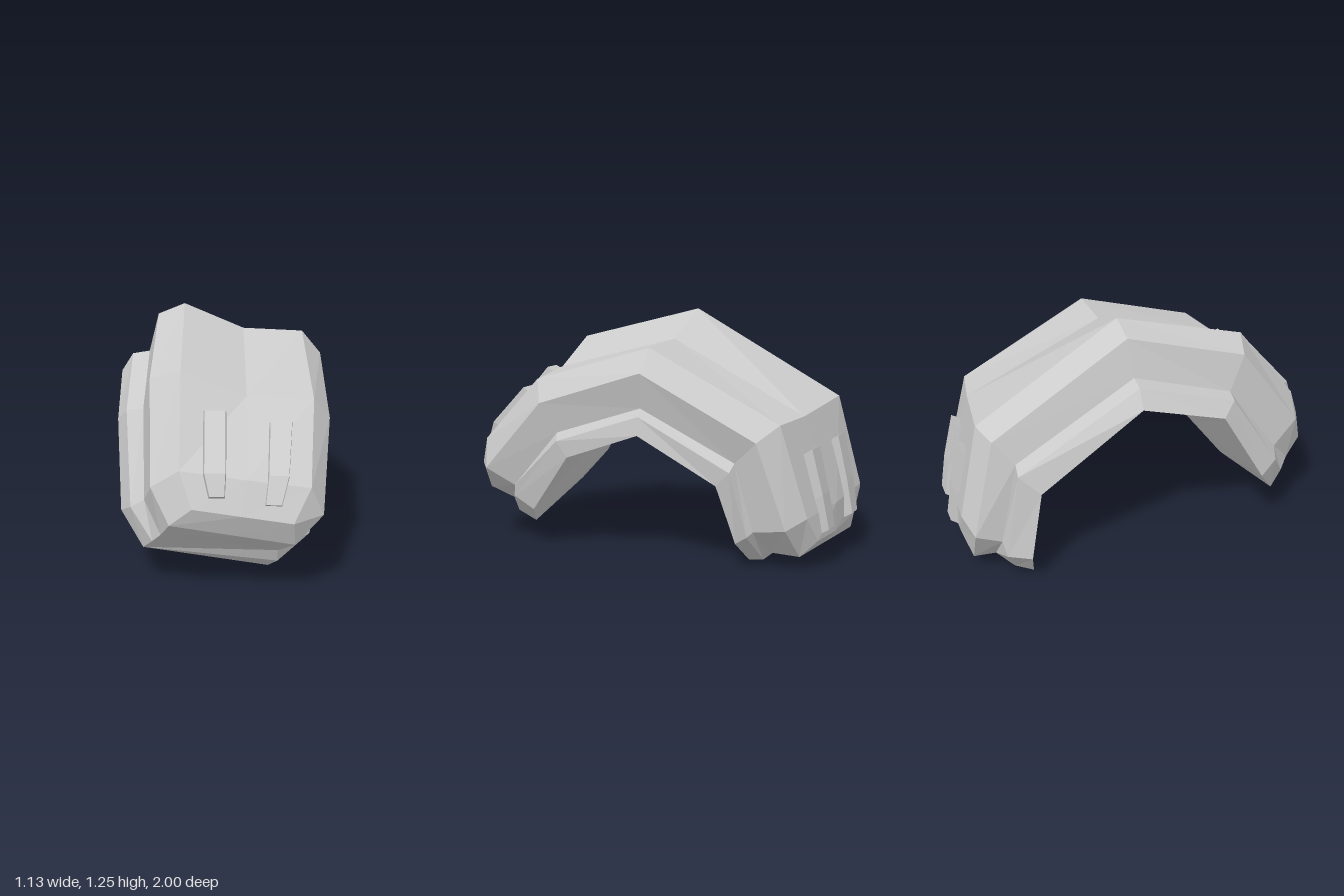
import * as THREE from 'three';

const material = new THREE.MeshStandardMaterial({ color: 0xcccccc, flatShading: true });

// Skin a list of cross-section rings (each runs -x to +x over the outside), closing rings and ends
function loft(name, rings) {
  const pos = [];
  const tri = (a, b, c) => pos.push(...a, ...b, ...c);
  const n = rings[0].length;
  for (let i = 0; i < rings.length - 1; i++) {
    for (let j = 0; j < n; j++) {
      const k = (j + 1) % n;
      const a = rings[i][j], b = rings[i][k], c = rings[i + 1][k], d = rings[i + 1][j];
      if (a !== b) tri(a, b, c);
      if (c !== d) tri(a, c, d);
    }
  }
  const first = rings[0], last = rings[rings.length - 1];
  for (let j = 1; j < n - 1; j++) {
    tri(first[0], first[j + 1], first[j]);
    tri(last[0], last[j], last[j + 1]);
  }
  const geo = new THREE.BufferGeometry();
  geo.setAttribute('position', new THREE.Float32BufferAttribute(pos, 3));
  geo.computeVertexNormals();
  const mesh = new THREE.Mesh(geo, material);
  mesh.name = name;
  return mesh;
}

const midpoint = (a, b) => a.map((v, i) => (v + b[i]) / 2);

// Outer shell sections, front tip to back tip:
// lower edge, bevel, crown edge, crown middle, crown edge, bevel, lower edge
const shellRows = [
  [[-.275, .32, .88], [-.23, .405, .97], [-.12, .5, 1], [.12, .46, .99], [.37, .415, .97], [.38, .285, .915], [.3, .215, .82]],
  [[-.36, .455, .76], [-.32, .575, .9], [-.18, .67, .93], [.14, .62, .92], [.455, .57, .89], [.52, .42, .86], [.475, .33, .71]],
  [[-.375, .84, .48], [-.335, 1.02, .57], [-.18, 1.075, .61], [.145, .94, .59], [.48, .915, .555], [.565, .8, .5], [.52, .645, .42]],
  [[-.37, 1, -.05], [-.32, 1.2, -.07], [-.18, 1.255, -.08], [.135, 1.12, -.08], [.45, 1.105, -.08], [.55, .985, -.07], [.5, .8, -.05]],
  [[-.44, .65, -.7], [-.41, .78, -.81], [-.27, .81, -.86], [.16, .76, -.81], [.41, .75, -.77], [.51, .67, -.68], [.46, .55, -.55]],
  [[-.46, .22, -.79], [-.47, .28, -.93], [-.33, .33, -.97], [.03, .3, -.95], [.36, .28, -.9], [.46, .23, -.82], [.43, .2, -.64]],
  [[-.33, .07, -.8], [-.34, .08, -.92], [-.22, .18, -.96], [.04, .15, -.95], [.27, .15, -.93], [.32, .07, -.85], [.3, .07, -.68]],
];

// Fold a tip section down to its bevel corners, then to its lower edge
function foldTip([low0, bev0, , , , bev1, low1]) {
  const mid = midpoint(low0, low1);
  return [
    [low0, bev0, bev0, midpoint(bev0, bev1), bev1, bev1, low1],
    [low0, low0, low0, mid, low1, low1, low1],
  ];
}

// Inner layer rims for the same sections: lower edge, upper edge, upper edge, lower edge
const layerRims = [
  [[-.37, .2, .75], [-.32, .265, .83], [.3, .145, .79], [.255, .085, .71]],
  [[-.485, .355, .64], [-.43, .41, .74], [.46, .265, .72], [.45, .2, .61]],
  [[-.51, .76, .4], [-.46, .83, .47], [.55, .605, .41], [.54, .52, .355]],
  [[-.52, .89, -.05], [-.46, .985, -.05], [.53, .76, -.05], [.54, .665, -.05]],
  [[-.56, .525, -.6], [-.53, .63, -.71], [.51, .51, -.54], [.5, .435, -.465]],
  [[-.57, .155, -.66], [-.53, .17, -.78], [.47, .18, -.62], [.43, .13, -.545]],
  [[-.46, .01, -.63], [-.42, .03, -.72], [.27, .02, -.64], [.24, 0, -.55]],
];

// Raised rib: stations are [left x, right x, y, z] on its outer face
function rib(name, stations) {
  return loft(name, stations.map(([x0, x1, y, z]) => {
    const inY = y - .035, inZ = z - Math.sign(z) * .06;
    return [[x0 - .012, inY, inZ], [x0, y, z], [x1, y, z], [x1 + .005, inY, inZ]];
  }));
}

export function createModel() {
  const group = new THREE.Group();
  group.name = 'curvedArmourPad';

  const front = foldTip(shellRows[0]).reverse();
  const back = foldTip(shellRows[shellRows.length - 1]);
  group.add(loft('outerShell', [...front, ...shellRows, ...back]));

  // The layer meets the shell along the shell's lower edges
  group.add(loft('innerLayer', layerRims.map(([l0, e0, e1, l1], i) =>
    [l0, e0, shellRows[i][0], shellRows[i][6], e1, l1])));

  group.add(
    rib('frontRibRight', [[-.035, .035, .565, 1], [-.06, .04, .67, .96], [-.06, .04, .915, .745]]),
    rib('frontRibLeft', [[.235, .31, .515, .975], [.25, .345, .64, .915], [.26, .365, .845, .71]]),
    rib('backRibRight', [[-.19, -.07, .63, -.92], [-.19, -.08, .4, -.97], [-.18, -.09, .22, -1]]),
    rib('backRibLeft', [[.13, .25, .61, -.885], [.13, .24, .38, -.94], [.12, .22, .2, -.97]]),
  );
  return group;
}
